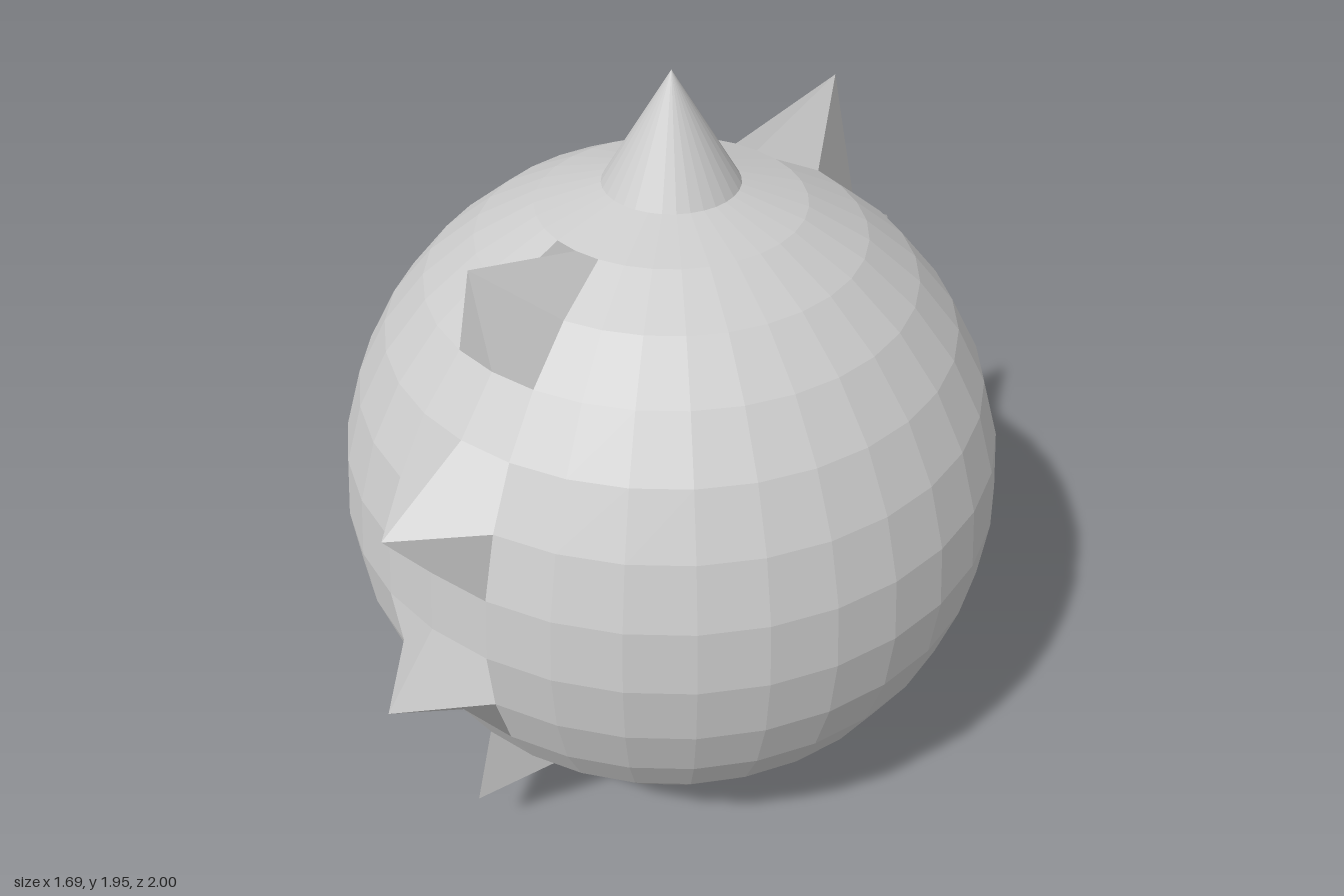
import * as THREE from 'three';

const R = 0.845, ROWS = 16, COLS = 32;

// Spikes: sphere grid points drawn out to a tip, by row on the front and back
const TIPS = [
  { row: 3, y: 1.72, z: 0.64, name: 'UpperSpike' },
  { row: 6, y: 1.18, z: 0.95, name: 'ShoulderSpike' },
  { row: 9, y: 0.685, z: 1.0, name: 'MiddleSpike' },
  { row: 12, y: 0.17, z: 0.765, name: 'LowerSpike' },
];
const TOP_Y = 1.948;

// The spike whose tip is this grid point, if any
function spikeAt(row, col) {
  if (row === 0) return { name: 'topSpike', tip: new THREE.Vector3(0, TOP_Y, 0) };
  const c = col % COLS;
  const t = TIPS.find((s) => s.row === row);
  if (!t || c % (COLS / 2) !== 0) return null;
  return c === 0
    ? { name: 'front' + t.name, tip: new THREE.Vector3(0, t.y, t.z) }
    : { name: 'back' + t.name, tip: new THREE.Vector3(0, t.y, -t.z) };
}

function gridPoint(row, col) {
  const spike = spikeAt(row, col);
  if (spike) return spike.tip;
  const p = (row / ROWS) * Math.PI, t = ((col % COLS) / COLS) * Math.PI * 2;
  return new THREE.Vector3(
    R * Math.sin(p) * Math.sin(t), R + R * Math.cos(p), R * Math.sin(p) * Math.cos(t));
}

export function createModel() {
  const group = new THREE.Group();
  group.name = 'spikedBall';
  const material = new THREE.MeshStandardMaterial({ color: 0xcccccc });
  const parts = new Map();

  // Walk the grid; each cell gets one flat normal and joins the ball or its spike
  for (let i = 0; i < ROWS; i++) {
    for (let j = 0; j < COLS; j++) {
      const corners = [[i, j], [i + 1, j], [i + 1, j + 1], [i, j + 1]];
      const [a, b, c, d] = corners.map(([r, k]) => gridPoint(r, k));
      const spike = corners.map(([r, k]) => spikeAt(r, k)).find(Boolean);
      const name = spike ? spike.name : 'ball';
      if (!parts.has(name)) parts.set(name, { position: [], normal: [] });
      const part = parts.get(name);
      const n = d.clone().sub(b).cross(a.clone().sub(c)).normalize();
      const verts = [];
      if (i < ROWS - 1) verts.push(b, c, d);
      if (i > 0) verts.push(b, d, a);
      for (const v of verts) {
        part.position.push(v.x, v.y, v.z);
        part.normal.push(n.x, n.y, n.z);
      }
    }
  }

  for (const [name, part] of parts) {
    const geometry = new THREE.BufferGeometry();
    for (const key of ['position', 'normal']) {
      geometry.setAttribute(key, new THREE.Float32BufferAttribute(part[key], 3));
    }
    const mesh = new THREE.Mesh(geometry, material);
    mesh.name = name;
    group.add(mesh);
  }
  return group;
}
